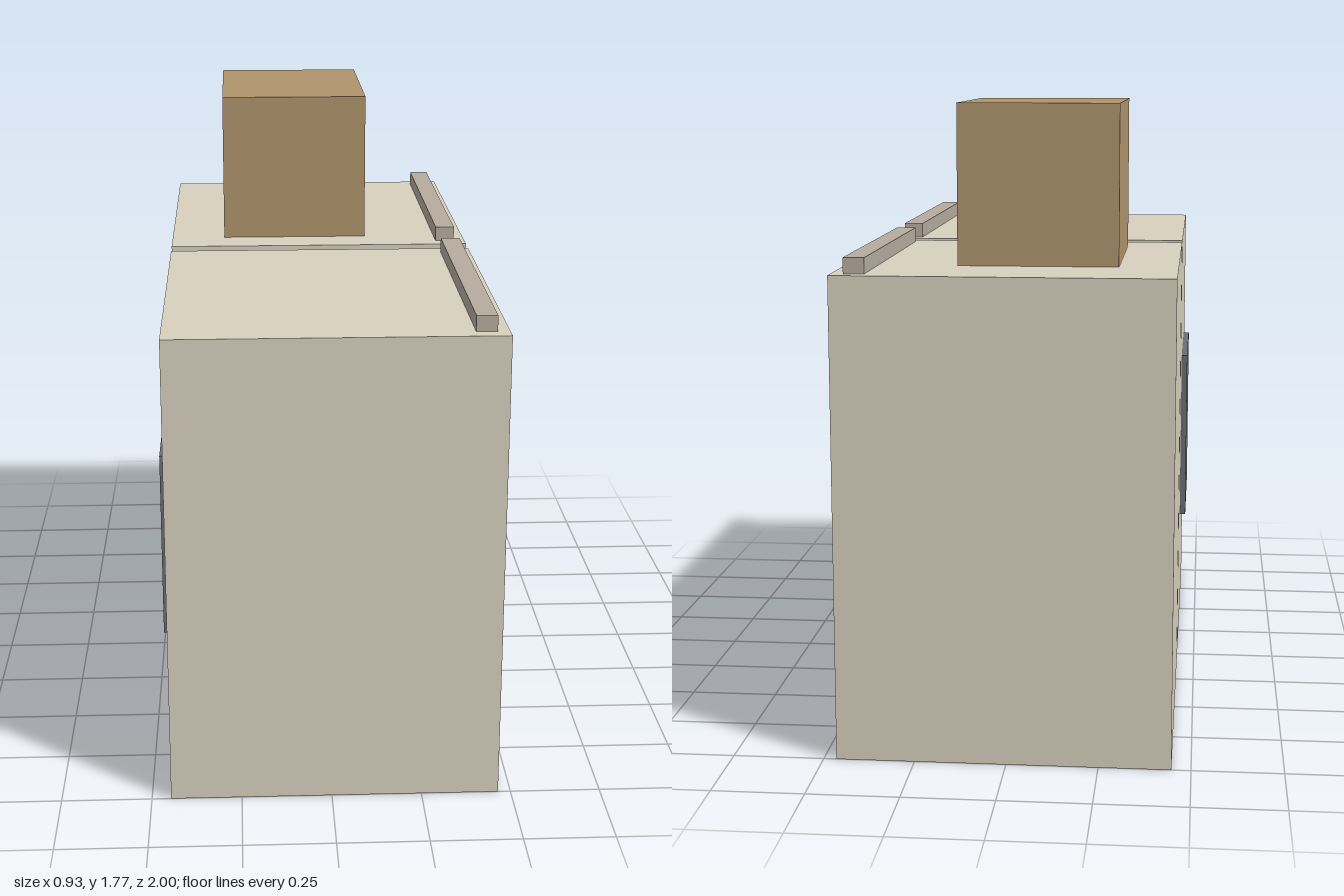
import * as THREE from 'three';

const material = (color) => new THREE.MeshStandardMaterial({ color });

// Box from its min and max corners
function box(name, mat, [x0, y0, z0], [x1, y1, z1]) {
  const mesh = new THREE.Mesh(new THREE.BoxGeometry(x1 - x0, y1 - y0, z1 - z0), mat);
  mesh.position.set((x0 + x1) / 2, (y0 + y1) / 2, (z0 + z1) / 2);
  mesh.name = name;
  return mesh;
}

export function createModel() {
  const group = new THREE.Group();
  group.name = 'appliancePair';

  const shell = material(0xd8d0be);
  const trim = material(0xb6ac9e);
  const cardboard = material(0xaf946c);
  const dark = material(0x686e73);

  const top = 1.327;

  // Two matching cabinets, each with a raised rail along its +x top edge
  for (const [side, s] of [['front', 1], ['back', -1]]) {
    const span = (a, b) => (s > 0 ? [a, b] : [-b, -a]);
    const [c0, c1] = span(0.029, 1);
    const [r0, r1] = span(0.075, 0.957);
    group.add(
      box(`${side}Cabinet`, shell, [-0.447, 0, c0], [0.465, top, c1]),
      box(`${side}TopRail`, trim, [0.375, top, r0], [0.432, 1.37, r1]),
    );
  }

  // Dark panel on the -x side of the front cabinet
  group.add(box('sidePanel', dark, [-0.465, 0.4, 0.249], [-0.447, 0.93, 0.776]));

  // Carton resting on the back cabinet
  group.add(box('carton', cardboard, [-0.285, top, -0.737], [0.157, 1.768, -0.148]));

  return group;
}
